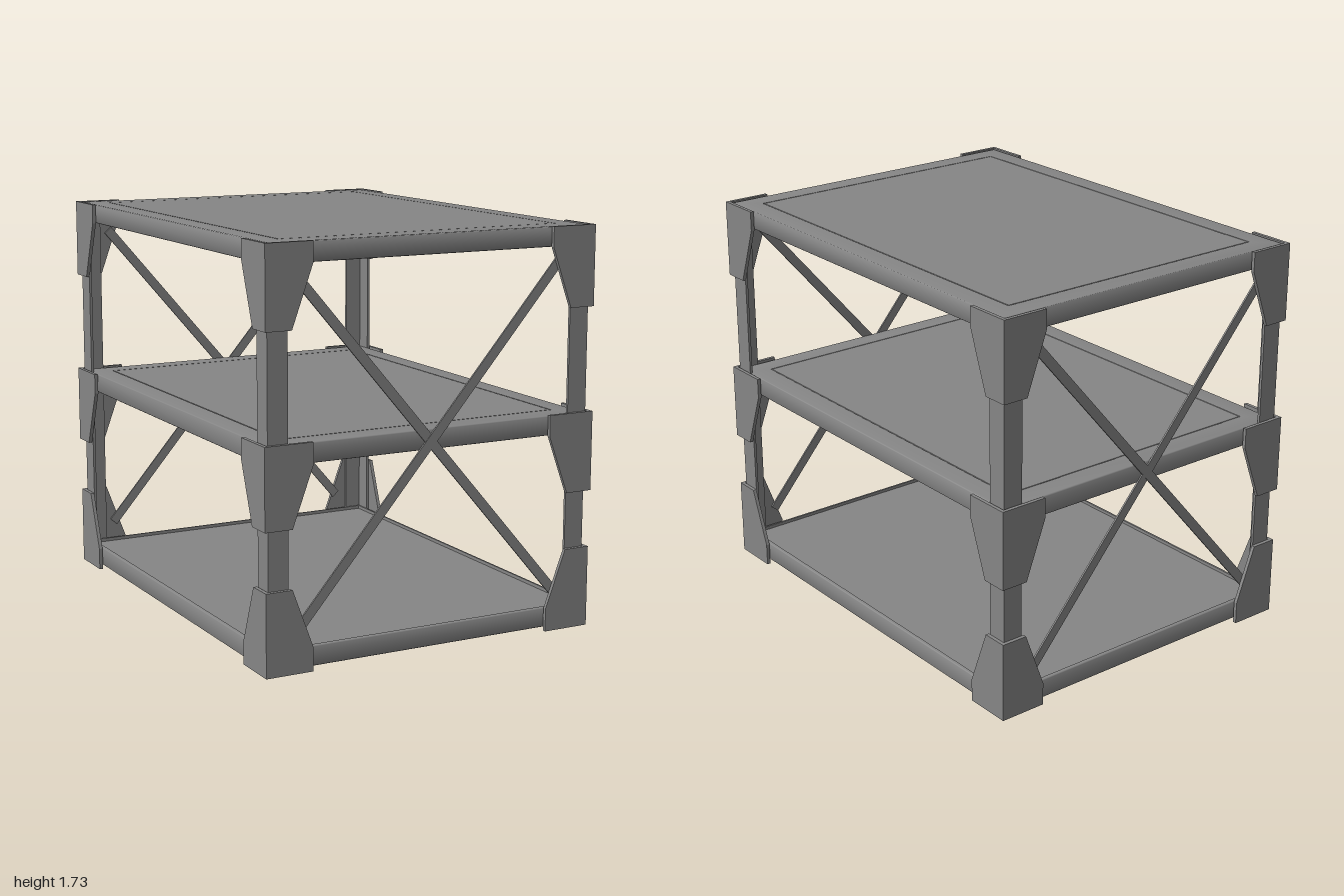
import * as THREE from 'three';
import { toCreasedNormals } from 'three/addons/utils/BufferGeometryUtils.js';

const material = new THREE.MeshStandardMaterial({ color: 0x868686 });
const SIDES = [-1, 1];

function add(parent, name, geometry, x = 0, y = 0, z = 0) {
  const mesh = new THREE.Mesh(geometry, material);
  mesh.name = name;
  mesh.position.set(x, y, z);
  parent.add(mesh);
  return mesh;
}

// Sweeps a profile of [inset, y] points around a rectangle
function rectangularSweep(hx, hz, profile) {
  const corners = ([inset, y]) => [[1, 1], [1, -1], [-1, -1], [-1, 1]]
    .map(([sx, sz]) => [sx * (hx - inset), y, sz * (hz - inset)]);
  const positions = [];
  for (let i = 0; i < profile.length - 1; i++) {
    const a = corners(profile[i]), b = corners(profile[i + 1]);
    for (let k = 0; k < 4; k++) {
      const n = (k + 1) % 4;
      positions.push(...a[k], ...b[k], ...b[n], ...a[k], ...b[n], ...a[n]);
    }
  }
  const geometry = new THREE.BufferGeometry();
  geometry.setAttribute('position', new THREE.Float32BufferAttribute(positions, 3));
  return toCreasedNormals(geometry, Math.PI / 5);
}

// Folded shelf: grooved deck, rounded outer bends, narrow lip and underside
function makeShelf(y0, y1, flipped) {
  const hx = 0.745, hz = 0.974, h = (y1 - y0) / 2, r = 0.01;
  const profile = [[hx, h], [0.103, h], [0.102, h - 0.003], [0.099, h - 0.003], [0.098, h]];
  for (let i = 0; i <= 4; i++) {
    const a = (i / 4) * Math.PI / 2;
    profile.push([r - r * Math.sin(a), h - r + r * Math.cos(a)]);
  }
  for (let i = 0; i <= 4; i++) {
    const a = (i / 4) * Math.PI / 2;
    profile.push([r - r * Math.cos(a), -h + r - r * Math.sin(a)]);
  }
  profile.push([0.016, -h], [0.016, -h + 0.015], [hx, -h + 0.015]);
  const shelf = new THREE.Group();
  shelf.name = 'shelf';
  add(shelf, 'shelfDeck', rectangularSweep(hx, hz, profile));
  shelf.position.y = (y0 + y1) / 2;
  if (flipped) shelf.rotation.x = Math.PI;
  return shelf;
}

// Tapered gusset outline: full width beside the shelf, narrow along the post
function gussetGeometry(sign, outer, wide, narrow, yEnd, yBend, yTip, thickness) {
  const points = [[outer, yEnd], [wide, yEnd], [wide, yBend], [narrow, yTip], [outer, yTip]];
  const shape = new THREE.Shape(points.map(([u, y]) => new THREE.Vector2(sign * u, y)));
  const geometry = new THREE.ExtrudeGeometry(shape, { depth: thickness, bevelEnabled: false });
  geometry.translate(0, 0, -thickness / 2);
  return geometry;
}

// Two gusset plates joined at the outer corner
function makeBracket(sx, sz, level) {
  const bracket = new THREE.Group();
  bracket.name = 'cornerBracket';
  const { outX, outZ, yEnd, yBend, yTip } = level;
  const t = 0.016;
  const front = gussetGeometry(sx, outX, 0.557, 0.65, yEnd, yBend, yTip, t);
  add(bracket, 'endGusset', front, 0, 0, sz * (outZ - t / 2));
  const side = gussetGeometry(sz, outZ, 0.79, 0.885, yEnd, yBend, yTip, t);
  side.rotateY(-Math.PI / 2);
  add(bracket, 'sideGusset', side, sx * (outX - t / 2), 0, 0);
  return bracket;
}

// Angle-section upright
function makePost(sx, sz) {
  const post = new THREE.Group();
  post.name = 'post';
  const w = 0.09, t = 0.012, h = 1.69, y = 0.865, outX = 0.749, outZ = 0.979;
  add(post, 'postEndFlange', new THREE.BoxGeometry(w, h, t), sx * (outX - w / 2), y, sz * (outZ - t / 2));
  add(post, 'postSideFlange', new THREE.BoxGeometry(t, h, w), sx * (outX - t / 2), y, sz * (outZ - w / 2));
  return post;
}

export function createModel() {
  const model = new THREE.Group();
  model.name = 'shelvingUnit';

  // Three shelves, the lowest one turned over
  model.add(makeShelf(0.012, 0.1, true), makeShelf(0.848, 0.935, false), makeShelf(1.643, 1.728, false));

  // Posts and brackets at the four corners
  const levels = [
    { outX: 0.768, outZ: 0.998, yEnd: 0, yBend: 0.1, yTip: 0.35 },
    { outX: 0.772, outZ: 1, yEnd: 0.94, yBend: 0.85, yTip: 0.597 },
    { outX: 0.765, outZ: 0.998, yEnd: 1.73, yBend: 1.645, yTip: 1.387 },
  ];
  for (const sx of SIDES) {
    for (const sz of SIDES) {
      model.add(makePost(sx, sz));
      for (const level of levels) model.add(makeBracket(sx, sz, level));
    }
  }

  // Crossed flat braces on both ends
  const angle = Math.atan2(1.37, 1.18);
  for (const sz of SIDES) {
    for (const dir of SIDES) {
      const brace = add(model, 'crossBrace', new THREE.BoxGeometry(1.87, 0.042, 0.008), -0.008, 0.882, sz * (0.977 + dir * 0.001));
      brace.rotation.z = dir * angle;
    }
  }
  return model;
}
